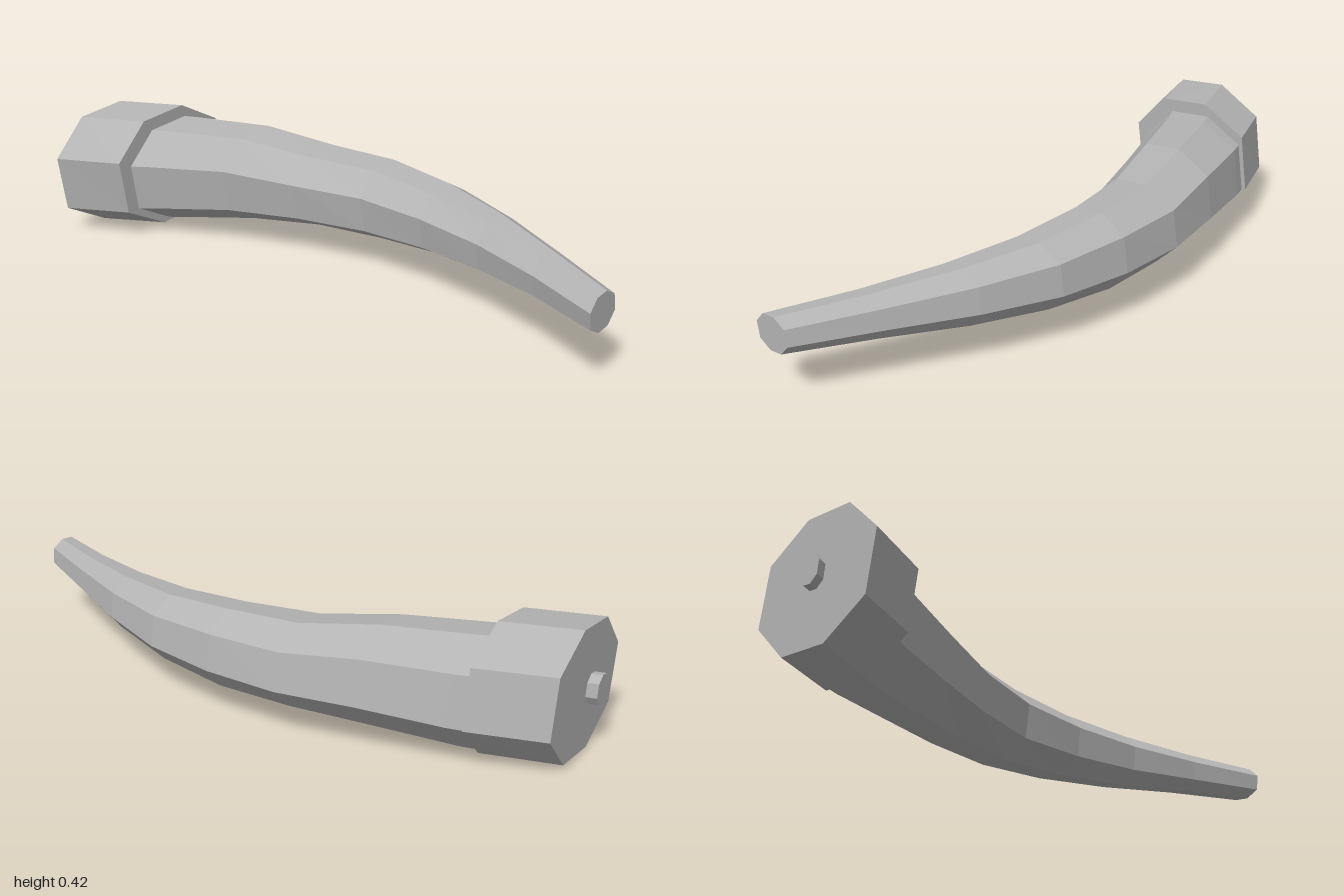
import * as THREE from 'three';

// Tilted octagon shared by every cross-section, as unit [z, y] offsets
const OCTAGON = [
  [1, 0.3], [0.51, 0.9], [-0.22, 1], [-0.88, 0.6],
  [-1, -0.3], [-0.51, -0.9], [0.22, -1], [0.88, -0.6],
];

// Lofts closed octagonal rings; each section is [x, zMin, zMax, yMin, yMax]
function loft(sections) {
  const n = OCTAGON.length;
  const positions = [];
  const index = [];
  for (const [x, z0, z1, y0, y1] of sections) {
    for (const [dz, dy] of OCTAGON) {
      positions.push(x, (y0 + y1) / 2 + (dy * (y1 - y0)) / 2, (z0 + z1) / 2 + (dz * (z1 - z0)) / 2);
    }
  }
  const last = (sections.length - 1) * n;
  for (let i = 0; i < last; i += n) {
    for (let j = 0; j < n; j++) {
      const k = (j + 1) % n;
      index.push(i + j, i + n + j, i + k, i + k, i + n + j, i + n + k);
    }
  }
  // Flat end caps
  for (let j = 1; j < n - 1; j++) {
    index.push(0, j, j + 1, last, last + j + 1, last + j);
  }
  const indexed = new THREE.BufferGeometry();
  indexed.setAttribute('position', new THREE.Float32BufferAttribute(positions, 3));
  indexed.setIndex(index);
  const geometry = indexed.toNonIndexed();
  geometry.computeVertexNormals();
  return geometry;
}

export function createModel() {
  const grey = new THREE.MeshStandardMaterial({ color: 0xb4b4b4 });
  grey.name = 'grey';
  const group = new THREE.Group();
  group.name = 'curvedHorn';

  const add = (name, sections) => {
    const mesh = new THREE.Mesh(loft(sections), grey);
    mesh.name = name;
    group.add(mesh);
  };

  // Curved, tapering body
  add('hornBody', [
    [-0.76, -0.2, 0.215, 0.025, 0.375],
    [-0.69, -0.225, 0.175, 0.032, 0.375],
    [-0.44, -0.295, 0.065, 0.063, 0.374],
    [-0.2, -0.342, -0.015, 0.08, 0.342],
    [0.04, -0.342, -0.068, 0.085, 0.337],
    [0.28, -0.305, -0.06, 0.102, 0.318],
    [0.52, -0.213, -0.017, 0.12, 0.3],
    [0.76, -0.095, 0.06, 0.142, 0.28],
    [1, 0.028, 0.158, 0.152, 0.264],
  ]);

  // Thick collar, sheared to follow the curve
  add('collar', [
    [-0.96, -0.131, 0.34, 0, 0.41],
    [-0.74, -0.222, 0.253, 0.013, 0.416],
  ]);

  // Small stud behind the collar
  add('endStud', [
    [-1, 0.09, 0.167, 0.163, 0.258],
    [-0.97, 0.078, 0.155, 0.165, 0.26],
  ]);

  return group;
}
